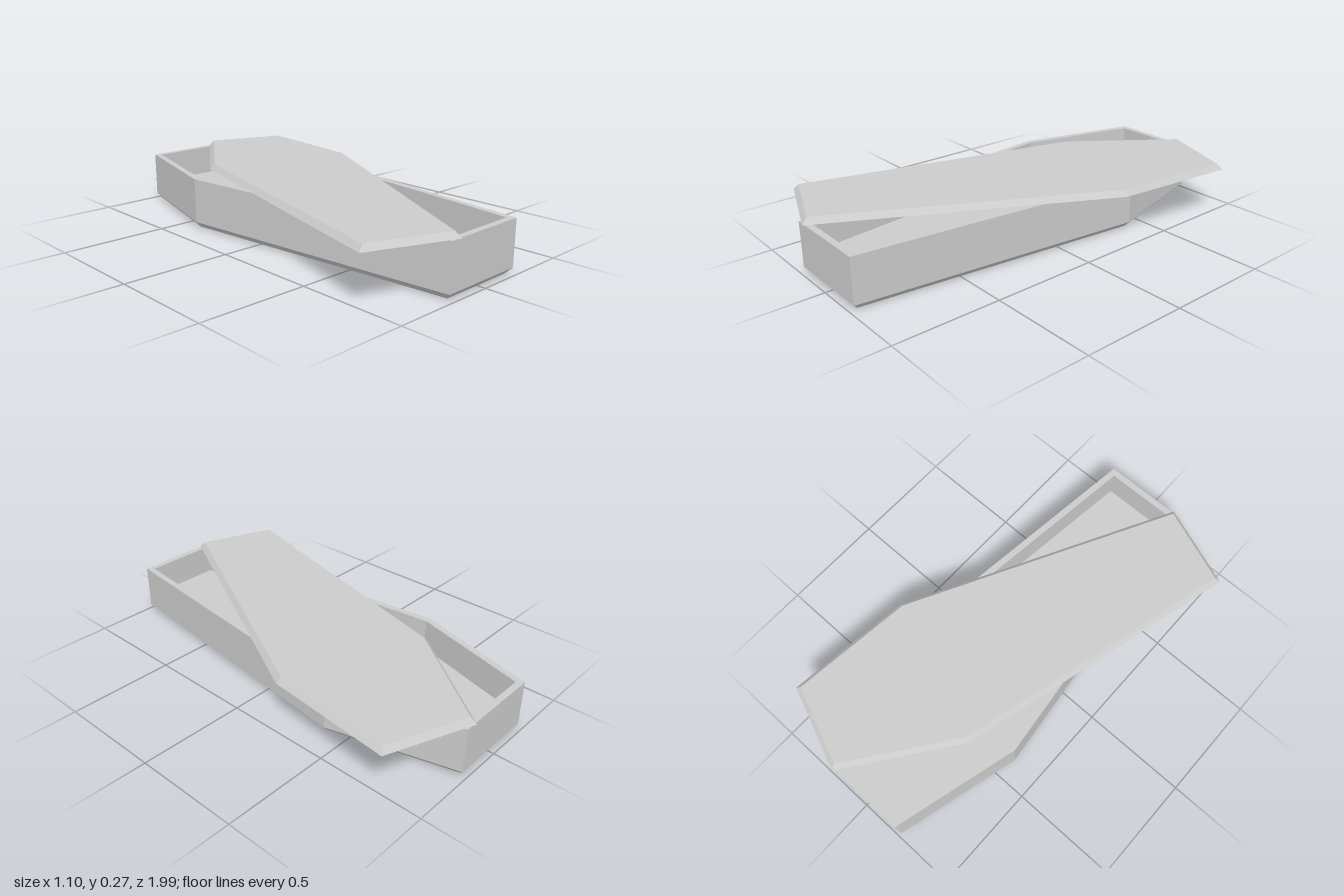
import * as THREE from 'three';

// Six-sided outline seen from above: [x, z], foot at +z, head at -z
const OUTLINE = [
  [0.21, 0.985], [0.368, -0.4], [0.21, -0.985],
  [-0.21, -0.985], [-0.368, -0.4], [-0.21, 0.985],
];

// Horizontal ring at height y, with every edge moved inward by d
function ring(y, d) {
  const n = OUTLINE.length;
  const normal = (i) => {
    const a = OUTLINE[i % n], b = OUTLINE[(i + 1) % n];
    return new THREE.Vector2(b[1] - a[1], a[0] - b[0]).normalize();
  };
  return OUTLINE.map(([x, z], i) => {
    const n1 = normal(i + n - 1), n2 = normal(i);
    const k = d / (1 + n1.dot(n2));
    return new THREE.Vector3(x + (n1.x + n2.x) * k, y, z + (n1.y + n2.y) * k);
  });
}

// Flat-faced skin through the rings, closed with a face at each end
function loft(name, rings, material) {
  const points = [];
  const n = OUTLINE.length;
  for (let r = 0; r < rings.length - 1; r++) {
    const low = rings[r], high = rings[r + 1];
    for (let i = 0; i < n; i++) {
      const j = (i + 1) % n;
      points.push(low[i], low[j], high[j], low[i], high[j], high[i]);
    }
  }
  const first = rings[0], last = rings[rings.length - 1];
  for (let i = 1; i < n - 1; i++) {
    points.push(first[0], first[i + 1], first[i]);
    points.push(last[0], last[i], last[i + 1]);
  }
  const geometry = new THREE.BufferGeometry().setFromPoints(points);
  geometry.computeVertexNormals();
  const mesh = new THREE.Mesh(geometry, material);
  mesh.name = name;
  return mesh;
}

export function createModel() {
  const group = new THREE.Group();
  group.name = 'openCasket';
  const material = new THREE.MeshStandardMaterial({ color: 0xcccccc, flatShading: true });

  // Hollow body: bevelled base, outer walls, rim, inner walls, floor
  const body = loft('body', [
    ring(0, 0.025), ring(0.028, 0), ring(0.24, 0), ring(0.24, 0.03), ring(0.095, 0.03),
  ], material);

  // Lid with sloping edges, turned aside on the rim
  const lid = loft('lid', [ring(0.24, 0), ring(0.266, 0.022)], material);
  lid.rotation.y = -0.37;

  group.add(body, lid);
  return group;
}
